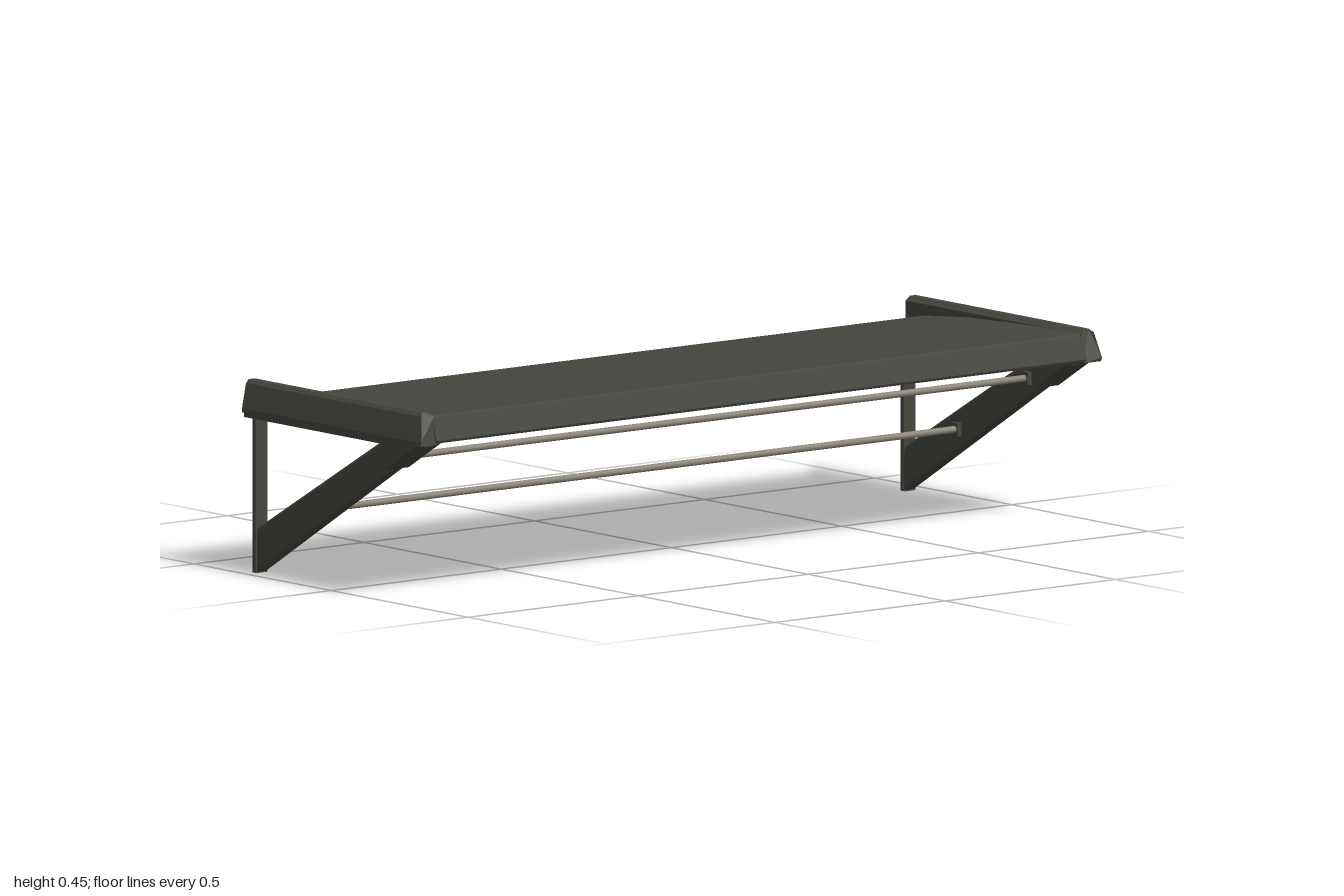
import * as THREE from 'three';

const frameMat = new THREE.MeshStandardMaterial({ color: 0x45463f });
frameMat.name = 'dark olive grey';
const rodMat = new THREE.MeshStandardMaterial({ color: 0x8c867a });
rodMat.name = 'warm grey metal';

function makeShape(points) {
  return new THREE.Shape(points.map(([a, b]) => new THREE.Vector2(a, b)));
}

// Extrude an (x, y) profile from z0 to z1, with optional softened edges
function alongZ(points, z0, z1, bevel = 0) {
  const geo = new THREE.ExtrudeGeometry(makeShape(points), {
    depth: z1 - z0 - 2 * bevel, bevelEnabled: bevel > 0, bevelSize: bevel,
    bevelThickness: bevel, bevelOffset: -bevel, bevelSegments: 2,
  });
  return geo.translate(0, 0, z0 + bevel);
}

// Extrude a (z, y) profile from x0 to x1
function alongX(points, x0, x1) {
  const geo = new THREE.ExtrudeGeometry(makeShape(points.map(([z, y]) => [-z, y])),
    { depth: x1 - x0, bevelEnabled: false });
  return geo.rotateY(Math.PI / 2).translate(x0, 0, 0);
}

function box(x0, x1, y0, y1, z0, z1) {
  return new THREE.BoxGeometry(x1 - x0, y1 - y0, z1 - z0)
    .translate((x0 + x1) / 2, (y0 + y1) / 2, (z0 + z1) / 2);
}

function add(parent, name, geo, mat = frameMat) {
  const mesh = new THREE.Mesh(geo, mat);
  mesh.name = name;
  parent.add(mesh);
  return mesh;
}

// End trim whose front slopes like the canopy lip
function endCap(s) {
  const section = [[0.95, 0.373], [1, 0.373], [1, 0.382], [0.988, 0.44],
    [0.98, 0.448], [0.962, 0.448], [0.95, 0.438]].map(([z, y]) => [z * s, y]);
  const geo = alongX(section, -0.325, 0.33);
  const pos = geo.attributes.position;
  for (let i = 0; i < pos.count; i++) {
    if (pos.getX(i) < 0) continue;
    const y = pos.getY(i);
    let x = 0.33 - 0.27 * Math.max(0, y - 0.383);
    if (y < 0.38) x = 0.326;
    if (y > 0.445) x = 0.305;
    pos.setX(i, x);
  }
  geo.computeVertexNormals();
  return geo;
}

export function createModel() {
  const model = new THREE.Group();
  model.name = 'awning';

  // Thin roof sheet: falls gently to the rear edge, folded front lip
  const slope = [[-0.325, 0.395], [-0.255, 0.412], [-0.1, 0.427], [0.1, 0.436]];
  add(model, 'roofSheet', alongZ([
    ...slope.map(([x, y]) => [x, y - 0.008]),
    [0.298, 0.431], [0.304, 0.426], [0.316, 0.376], [0.326, 0.376],
    [0.329, 0.382], [0.315, 0.434], [0.306, 0.439],
    ...slope.slice().reverse(),
  ], -0.955, 0.955));

  // Bracket and trim at each end
  for (const s of [1, -1]) {
    const side = new THREE.Group();
    side.name = s > 0 ? 'frontBracket' : 'backBracket';
    model.add(side);
    add(model, 'endCap', endCap(s));

    // The back bracket sits slightly further in
    const range = (a, b) => (s > 0 ? [a, b] : [0.011 - b, 0.011 - a]);
    add(side, 'topRail', box(-0.332, 0.2, 0.36, 0.385, ...range(0.924, 0.988)));
    add(side, 'strutSocket', alongZ([[0.19, 0.376], [0.19, 0.302], [0.307, 0.372], [0.307, 0.376]],
      ...range(0.924, 0.996)));
    add(side, 'wallPost', alongZ([[-0.32, 0], [-0.305, 0], [-0.305, 0.365], [-0.32, 0.365]],
      ...range(0.94, 0.975), 0.003));
    add(side, 'diagonalStrut', alongZ([[-0.308, 0.001], [0.3, 0.366], [0.3, 0.372],
      [0.165, 0.372], [-0.308, 0.104]], ...range(0.939, 0.974), 0.008));
    for (const [x, y] of [[-0.105, 0.17], [0.15, 0.32]]) {
      add(side, 'rodClip', box(x - 0.012, x + 0.012, y - 0.015, y + 0.015, ...range(0.927, 0.942)));
    }
  }

  // Long tie rods between the brackets
  for (const [x, y] of [[-0.105, 0.17], [0.15, 0.32]]) {
    const rod = add(model, 'tieRod', new THREE.CylinderGeometry(0.008, 0.008, 1.87, 12), rodMat);
    rod.rotation.x = Math.PI / 2;
    rod.position.set(x, y, 0.005);
  }

  return model;
}
